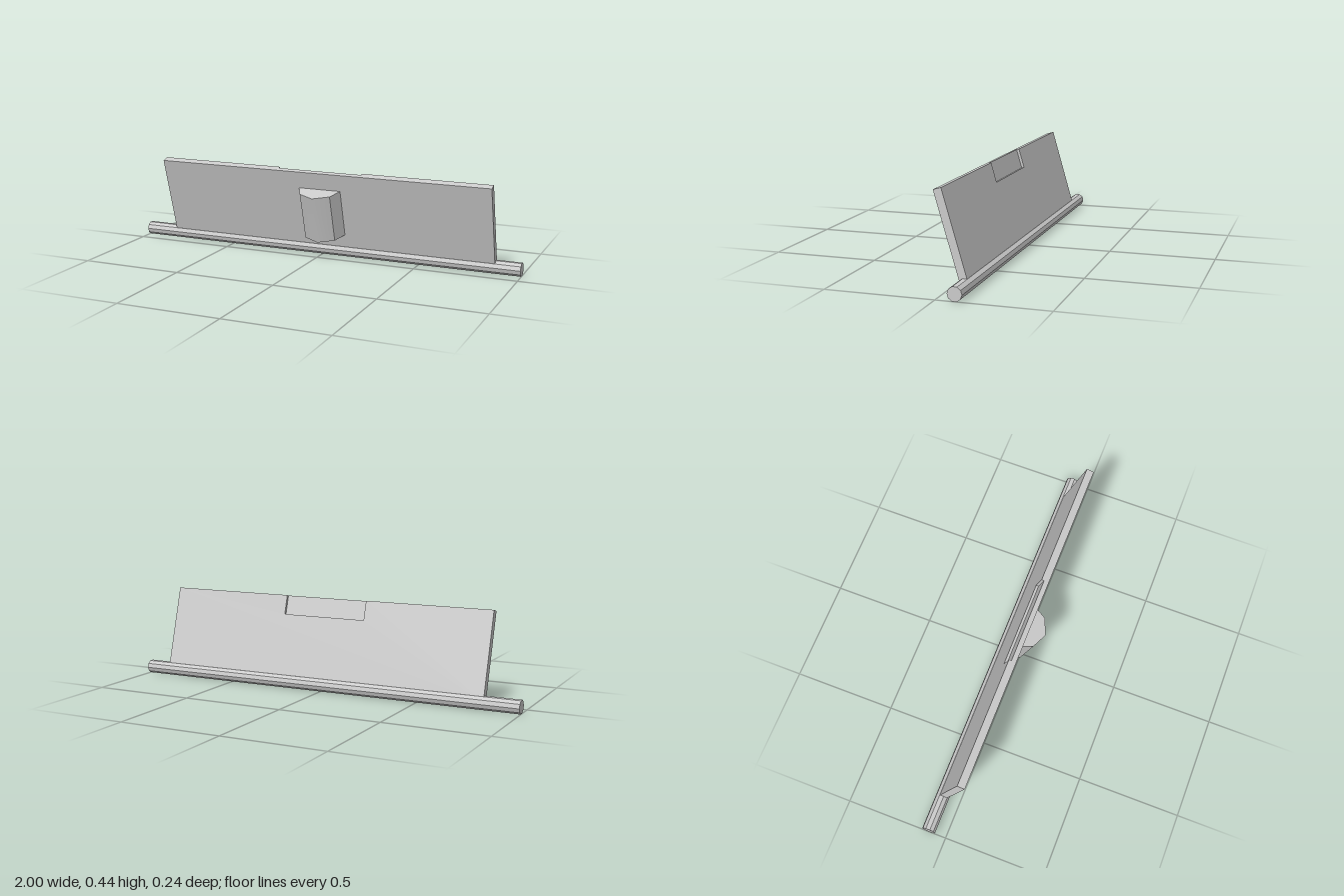
import * as THREE from 'three';
import { toCreasedNormals } from 'three/addons/utils/BufferGeometryUtils.js';

const grey = new THREE.MeshStandardMaterial({ color: 0xcccccc });
const flat = new THREE.MeshStandardMaterial({ color: 0xcccccc, flatShading: true });

function part(name, geometry, material, parent) {
  const mesh = new THREE.Mesh(geometry, material);
  mesh.name = name;
  parent.add(mesh);
  return mesh;
}

function extrude(points, depth) {
  const shape = new THREE.Shape(points.map(([x, y]) => new THREE.Vector2(x, y)));
  return new THREE.ExtrudeGeometry(shape, { depth, bevelEnabled: false });
}

export function createModel() {
  const model = new THREE.Group();
  model.name = 'hingedFlap';
  const hingeY = 0.0325, hingeZ = -0.085;

  // Ten-sided hinge rod along x
  const rod = part('hingeRod', new THREE.CylinderGeometry(0.033, 0.033, 2, 10).rotateZ(Math.PI / 2), flat, model);
  rod.position.set(0, hingeY, hingeZ);
  rod.rotation.x = -0.04;

  // Everything else leans forward about the rod
  const flap = new THREE.Group();
  flap.name = 'flap';
  flap.position.set(0.025, hingeY, hingeZ);
  flap.rotation.x = THREE.MathUtils.degToRad(16.3);
  model.add(flap);

  // Plate: full front layer plus a back layer with a shallow notch in its top edge
  const half = 0.8525, top = 0.422, front = 0.0185, notchZ = -0.006;
  const notchHalf = 0.215, notchFloor = top - 0.095;
  const frontLayer = extrude([[-half, 0], [half, 0], [half, top], [-half, top]], front - notchZ);
  part('plateFront', frontLayer, flat, flap).position.z = notchZ;
  const backLayer = extrude([
    [-half, 0], [half, 0], [half, top], [notchHalf, top], [notchHalf, notchFloor],
    [-notchHalf, notchFloor], [-notchHalf, top], [-half, top],
  ], notchZ + front);
  part('plateBack', backLayer, flat, flap).position.z = -front;

  // Grip: tapered base and a softly shaded ridge, extruded up the plate
  const grip = new THREE.Group();
  grip.name = 'grip';
  grip.position.set(0, 0.336, front);
  grip.rotation.x = Math.PI / 2; // profile y runs out from the plate, depth runs down it
  flap.add(grip);
  const length = 0.241;
  part('gripBase', extrude([[-0.1075, 0], [0.1075, 0], [0.0775, 0.061], [-0.0775, 0.061]], length), flat, grip);
  const ridge = extrude([[-0.0775, 0.061], [0.0775, 0.061], [0, 0.096]], length);
  part('gripRidge', toCreasedNormals(ridge, 1), grey, grip);

  return model;
}
